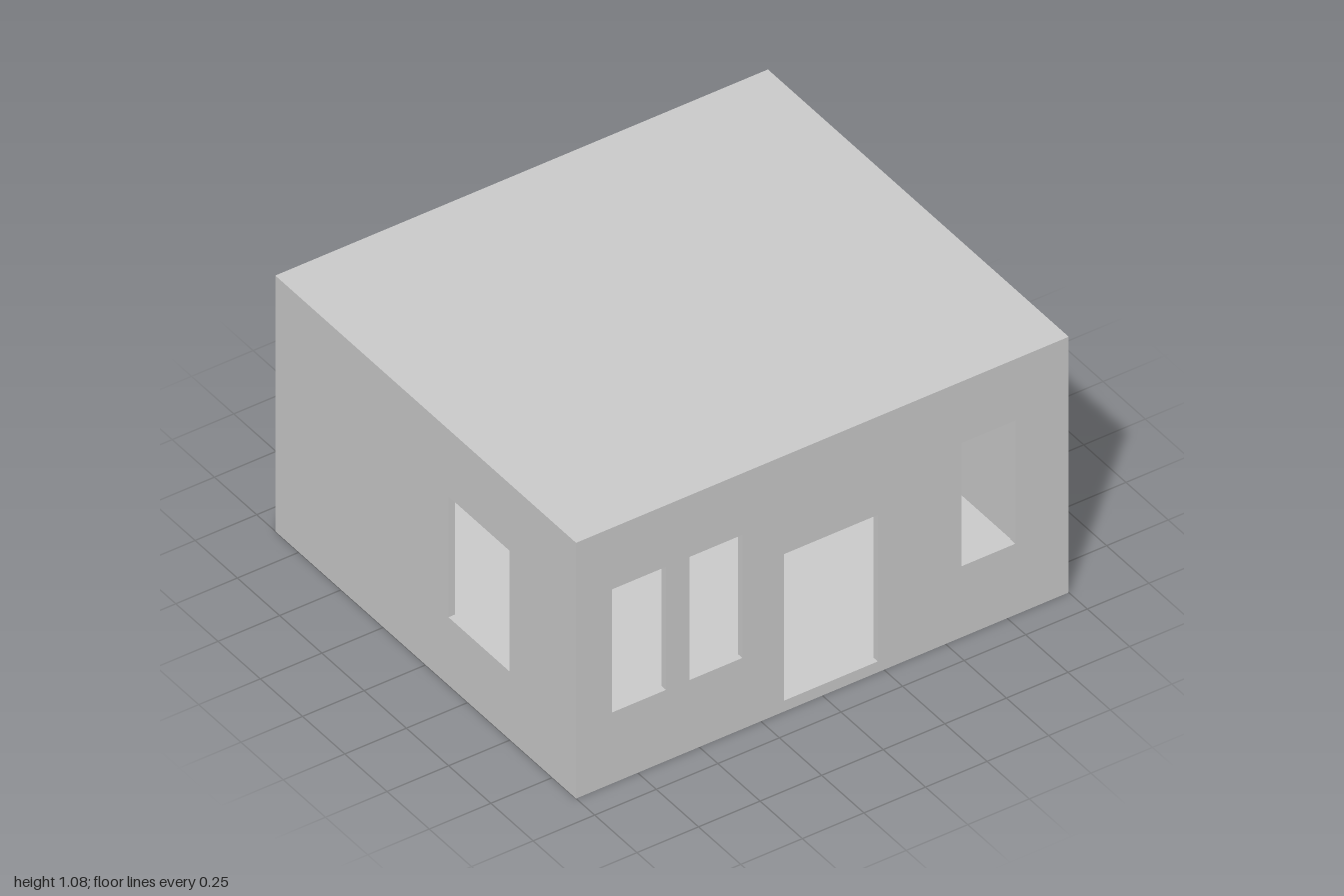
import * as THREE from 'three';

const W = 2, D = 1.78, H = 1.08;          // overall size
const WALL = 0.027, FLOOR = 0.045, ROOF = 0.02;

export function createModel() {
  const house = new THREE.Group();
  house.name = 'house';
  const material = new THREE.MeshStandardMaterial({ color: 0xcccccc, flatShading: true });

  function add(name, geometry) {
    const mesh = new THREE.Mesh(geometry, material);
    mesh.name = name;
    house.add(mesh);
    return mesh;
  }

  // Horizontal slab over the whole plan
  function slab(name, y, thickness) {
    add(name, new THREE.BoxGeometry(W, thickness, D)).position.y = y + thickness / 2;
  }

  // Upright wall with openings [x0, x1, y0, y1], extruded towards +z
  function wall(name, width, openings) {
    const rect = (path, x0, x1, y0, y1) => path
      .moveTo(x0, y0).lineTo(x1, y0).lineTo(x1, y1).lineTo(x0, y1).closePath();
    const shape = rect(new THREE.Shape(), -width / 2, width / 2, FLOOR, H - ROOF);
    for (const opening of openings) shape.holes.push(rect(new THREE.Path(), ...opening));
    return add(name, new THREE.ExtrudeGeometry(shape, { depth: WALL, bevelEnabled: false }));
  }

  slab('floor', 0, FLOOR);
  slab('roof', H - ROOF, ROOF);

  // Door sills sit a hair above the floor so the openings stay true holes
  const sill = FLOOR + 0.001, doorTop = 0.665;

  // Front wall: three windows and a door
  wall('frontWall', W, [
    [-0.855, -0.635, 0.3, 0.82],
    [-0.54, -0.325, 0.3, 0.82],
    [-0.155, 0.225, sill, doorTop],
    [0.565, 0.783, 0.3, 0.82],
  ]).position.z = D / 2 - WALL;

  // Back wall: one door
  wall('backWall', W, [[-0.127, 0.27, sill, doorTop]]).position.z = -D / 2;

  // Side walls between front and back; only the -x one has a window
  const sideWidth = D - 2 * WALL;
  const windowWall = wall('rightWall', sideWidth, [[0.135, 0.495, 0.287, 0.797]]);
  windowWall.rotation.y = -Math.PI / 2;
  windowWall.position.x = -W / 2 + WALL;

  const blankWall = wall('leftWall', sideWidth, []);
  blankWall.rotation.y = Math.PI / 2;
  blankWall.position.x = W / 2 - WALL;

  return house;
}
